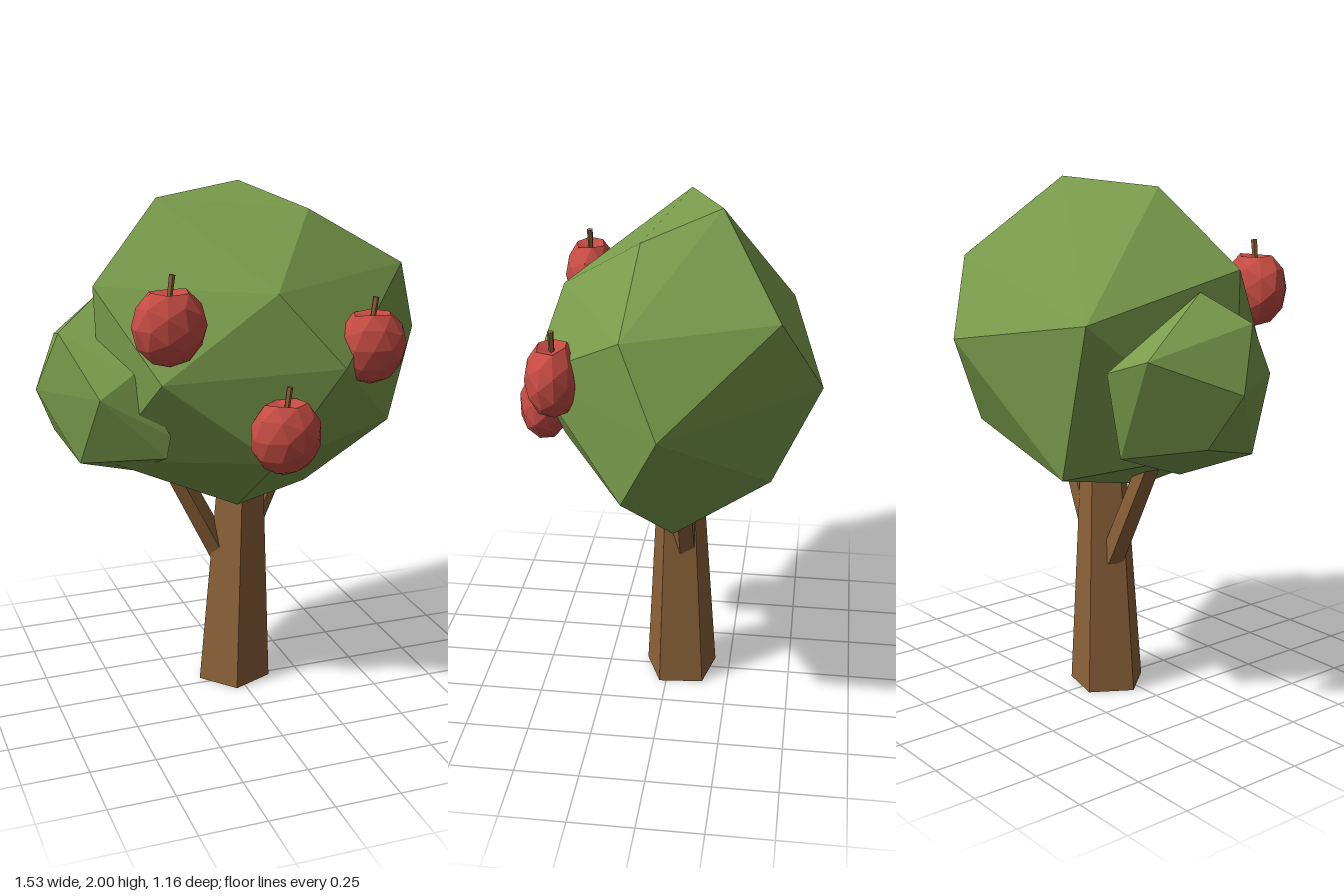
import * as THREE from 'three';
import { ConvexGeometry } from 'three/addons/geometries/ConvexGeometry.js';

const flat = (color) => new THREE.MeshStandardMaterial({ color, flatShading: true });
const leafMat = flat(0x7a9c4c);
const barkMat = flat(0x8c6239);
const appleMat = flat(0xc64c43);

function add(parent, name, geometry, material) {
  const mesh = new THREE.Mesh(geometry, material);
  mesh.name = name;
  parent.add(mesh);
  return mesh;
}

// Faceted clump of leaves spanned by a few corner points
function clump(corners) {
  return new ConvexGeometry(corners.map((c) => new THREE.Vector3(...c)));
}

// Tapered straight limb between two points
function limb(from, to, r0, r1, sides, turn = 0) {
  const a = new THREE.Vector3(...from);
  const dir = new THREE.Vector3(...to).sub(a);
  const length = dir.length();
  const g = new THREE.CylinderGeometry(r1, r0, length, sides, 1, false, turn);
  g.translate(0, length / 2, 0);
  g.applyQuaternion(new THREE.Quaternion().setFromUnitVectors(new THREE.Vector3(0, 1, 0), dir.normalize()));
  return g.translate(a.x, a.y, a.z);
}

// Faceted apple with a dimple at the top, and its stem
function apple(x, y, z, turn) {
  const group = new THREE.Group();
  group.name = 'apple';
  const g = new THREE.IcosahedronGeometry(1, 1);
  const p = g.attributes.position;
  for (let i = 0; i < p.count; i++) {
    if (p.getY(i) > 0.95) p.setY(i, 0.68);
  }
  g.rotateY(turn);
  g.scale(0.134, 0.145, 0.1);
  add(group, 'appleBody', g, appleMat);
  add(group, 'appleStem', limb([0, 0.09, 0], [0.012, 0.178, 0], 0.01, 0.012, 5), barkMat);
  group.position.set(x, y, z);
  return group;
}

export function createModel() {
  const tree = new THREE.Group();
  tree.name = 'appleTree';

  // Five-sided trunk, leaning slightly as it rises
  const trunk = new THREE.CylinderGeometry(0.09, 0.15, 0.95, 5, 1, false, -0.23);
  trunk.translate(0, 0.475, 0);
  const p = trunk.attributes.position;
  for (let i = 0; i < p.count; i++) {
    const t = p.getY(i) / 0.95;
    p.setX(i, p.getX(i) - 0.005 + 0.03 * t);
    p.setZ(i, p.getZ(i) - 0.05 + 0.005 * t);
  }
  add(tree, 'trunk', trunk, barkMat);

  // Branches reaching into the leaves
  add(tree, 'rightBranch', limb([-0.05, 0.53, -0.06], [-0.26, 0.95, -0.05], 0.05, 0.045, 5), barkMat);
  add(tree, 'leftBranch', limb([0.06, 0.62, -0.07], [0.21, 0.95, -0.07], 0.05, 0.045, 5), barkMat);

  // Main crown: top, shoulder, middle, lower and bottom corners
  add(tree, 'crown', clump([
    [0.07, 2.0, -0.2], [-0.3, 1.97, -0.05], [0.25, 1.92, 0.07],
    [0.63, 1.7, 0.09], [0.39, 1.7, -0.43], [-0.58, 1.69, 0.09], [0.01, 1.68, 0.39],
    [0.76, 1.41, -0.05], [0.24, 1.41, 0.47], [0.24, 1.41, -0.58],
    [-0.41, 1.38, 0.36], [-0.4, 1.52, -0.45],
    [0.59, 1.08, 0.1], [0, 1.06, 0.41], [0.33, 1.07, -0.41], [-0.56, 1.04, 0.1],
    [-0.23, 0.94, -0.43], [-0.04, 0.8, 0.1], [0.3, 0.81, -0.05],
  ]), leafMat);

  // Smaller clump on the side
  add(tree, 'sideClump', clump([
    [-0.54, 1.62, -0.06], [-0.7, 1.52, 0.04], [-0.63, 1.42, -0.37], [-0.45, 1.36, -0.4],
    [-0.77, 1.29, -0.06], [-0.6, 1.31, 0.23], [-0.48, 1.4, 0.25],
    [-0.36, 1.17, 0.29], [-0.37, 1.08, 0.27], [-0.65, 1.04, 0.1],
    [-0.69, 1.1, -0.15], [-0.45, 1.05, -0.34], [-0.42, 0.94, -0.04],
  ]), leafMat);

  // Apples hanging at the front
  tree.add(apple(-0.38, 1.59, 0.36, 0.3));
  tree.add(apple(0.007, 1.19, 0.48, 0.8));
  tree.add(apple(0.383, 1.46, 0.365, 1.3));

  return tree;
}
